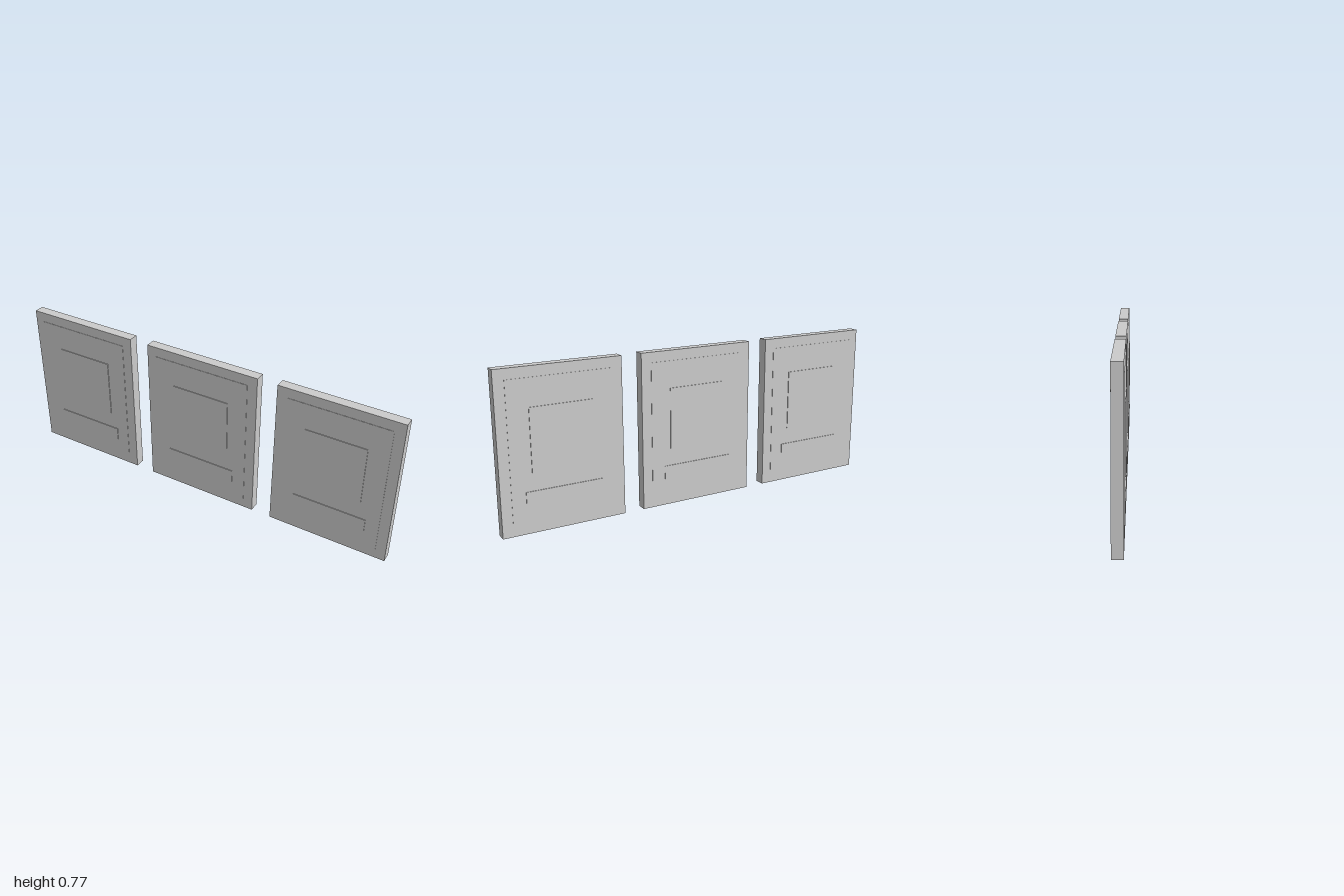
import * as THREE from 'three';

const material = new THREE.MeshStandardMaterial({ color: 0xcccccc });

// Box centred on x and z, spanning y from bottom to top
function slab(name, width, bottom, top, depth) {
  const mesh = new THREE.Mesh(new THREE.BoxGeometry(width, top - bottom, depth), material);
  mesh.name = name;
  mesh.position.y = (bottom + top) / 2;
  return mesh;
}

// Thin raised panel repeated on the front and back of a card
function facePanels(name, width, bottom, top, inner, outer) {
  const group = new THREE.Group();
  group.name = name;
  for (const side of [1, -1]) {
    const panel = slab(side > 0 ? 'front' : 'back', width, bottom, top, outer - inner);
    panel.position.z = side * (inner + outer) / 2;
    group.add(panel);
  }
  return group;
}

function createCard() {
  const card = new THREE.Group();
  card.add(
    slab('cardBody', 0.6, 0, 0.767, 0.05),
    facePanels('facePanel', 0.5, 0.05, 0.717, 0.02, 0.0267),
    facePanels('picturePanel', 0.3, 0.283, 0.585, 0.02, 0.03),
    facePanels('captionPlate', 0.367, 0.135, 0.2, 0.02, 0.03)
  );
  return card;
}

export function createModel() {
  const model = new THREE.Group();
  model.name = 'cardRow';
  // Three identical cards standing side by side
  ['rightCard', 'middleCard', 'leftCard'].forEach((name, i) => {
    const card = createCard();
    card.name = name;
    card.position.x = (i - 1) * 0.7;
    model.add(card);
  });
  return model;
}
